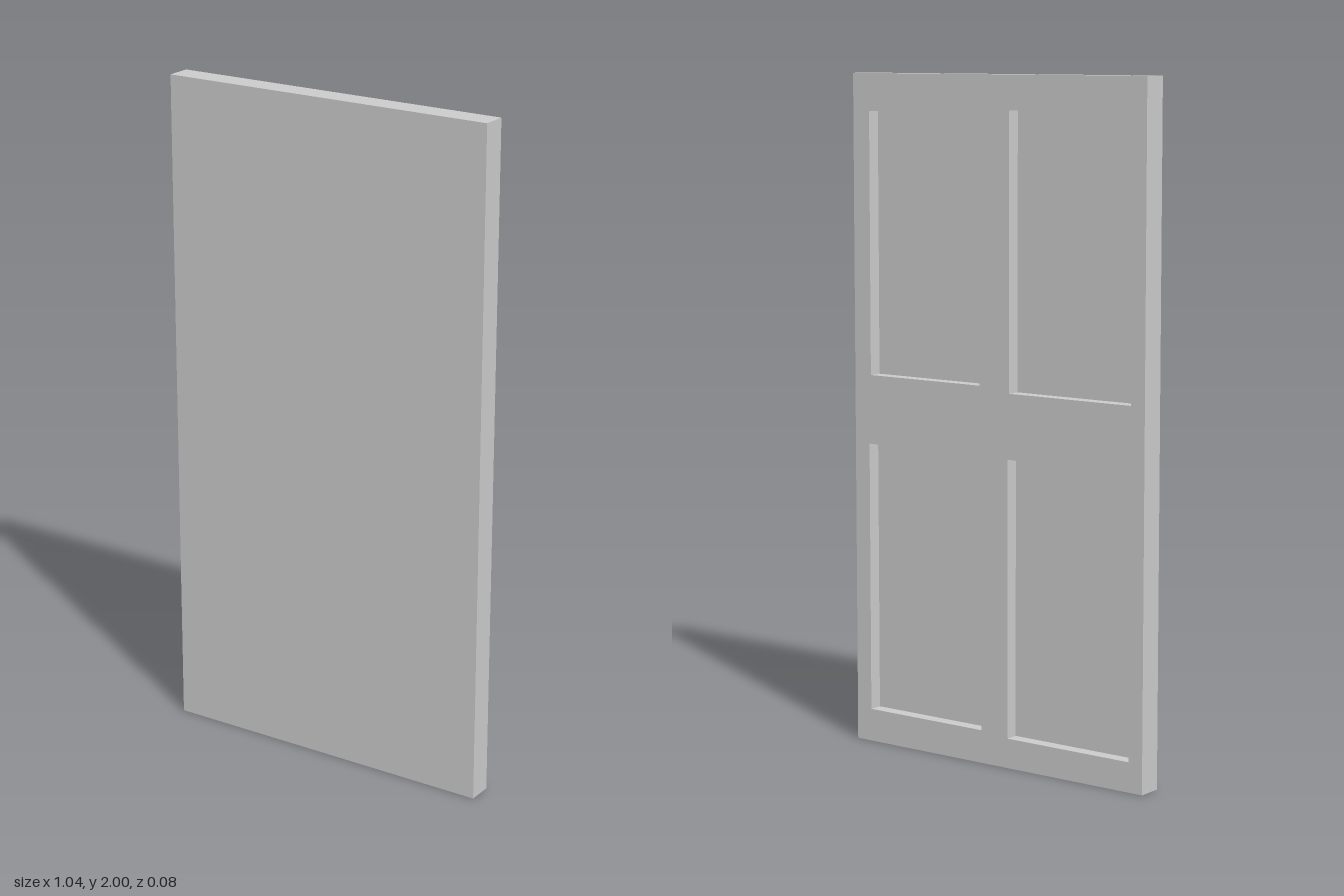
import * as THREE from 'three';

const WIDTH = 1.04, HEIGHT = 2, DEPTH = 0.075, RECESS = 0.04;

// Rectangular outline as a closed loop of points
const rect = (x0, x1, y0, y1) => [[x0, y0], [x1, y0], [x1, y1], [x0, y1]].map(([x, y]) => new THREE.Vector2(x, y));

export function createModel() {
  const group = new THREE.Group();
  group.name = 'panelDoor';
  const material = new THREE.MeshStandardMaterial({ color: 0xcccccc, flatShading: true });

  // Plain front sheet, also the floor of the recesses
  const sheetDepth = DEPTH - RECESS;
  const sheet = new THREE.Mesh(new THREE.BoxGeometry(WIDTH, HEIGHT, sheetDepth), material);
  sheet.name = 'frontSheet';
  sheet.position.set(0, HEIGHT / 2, DEPTH / 2 - sheetDepth / 2);
  group.add(sheet);

  // Back frame of stiles and rails around four slightly uneven recesses
  const outline = new THREE.Shape(rect(-WIDTH / 2, WIDTH / 2, 0, HEIGHT));
  const recesses = [
    [0.053, 0.46, 1.113, 1.89],
    [-0.473, -0.053, 1.098, 1.9],
    [0.047, 0.467, 0.098, 0.907],
    [-0.473, -0.047, 0.088, 0.907],
  ];
  for (const r of recesses) outline.holes.push(new THREE.Path(rect(...r)));
  const frame = new THREE.Mesh(new THREE.ExtrudeGeometry(outline, { depth: RECESS, bevelEnabled: false }), material);
  frame.name = 'backFrame';
  frame.position.z = -DEPTH / 2;
  group.add(frame);

  return group;
}
